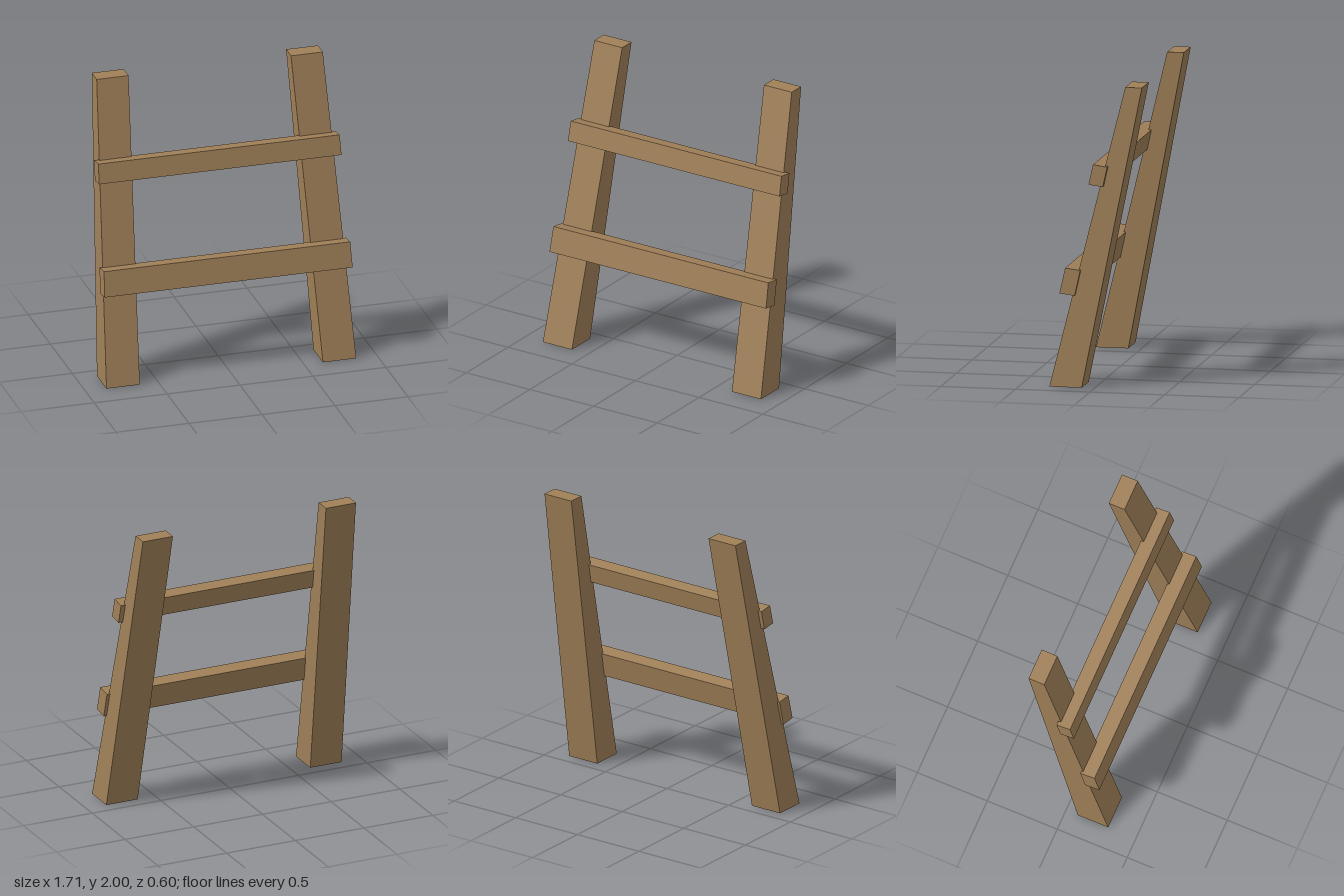
import * as THREE from 'three';

// Box whose eight corners are placed by a rule: (sx, sy, sz) signs -> [x, y, z]
function shapedBox(name, material, place) {
  const geometry = new THREE.BoxGeometry(2, 2, 2).toNonIndexed();
  const pos = geometry.attributes.position;
  for (let i = 0; i < pos.count; i++) {
    pos.setXYZ(i, ...place(pos.getX(i), pos.getY(i), pos.getZ(i)));
  }
  geometry.computeVertexNormals();
  const mesh = new THREE.Mesh(geometry, material);
  mesh.name = name;
  return mesh;
}

// Tapered rail leaning back and inward; side is +1 (left) or -1 (right)
function rail(name, material, side) {
  return shapedBox(name, material, (sx, sy, sz) => {
    const top = sy > 0;
    const [inner, outer] = top ? [0.557, 0.775] : [0.628, 0.856];
    const [back, front] = top ? [-0.302, -0.19] : [0.085, 0.302];
    const x = side * (sx * side > 0 ? outer : inner);
    return [x, top ? 2 : 0, sz > 0 ? front : back];
  });
}

// Tilted plank across the front of the rails
function rung(name, material, { y, z, height, depth, left, right, flare }) {
  const tilt = 0.215;
  const c = Math.cos(tilt), s = Math.sin(tilt);
  return shapedBox(name, material, (sx, sy, sz) => {
    const v = sy * height / 2, w = sz * depth / 2;
    const x = (sx > 0 ? left : -right) - sx * sy * flare;
    return [x, y + v * c + w * s * 0.6, z - v * s + w * c];
  });
}

export function createModel() {
  const wood = new THREE.MeshStandardMaterial({ color: 0xa08058 });
  wood.name = 'wood';
  const ladder = new THREE.Group();
  ladder.name = 'ladder';
  ladder.add(
    rail('leftRail', wood, 1),
    rail('rightRail', wood, -1),
    rung('upperRung', wood, { y: 1.413, z: -0.018, height: 0.136, depth: 0.098, left: 0.831, right: 0.827, flare: 0.002 }),
    rung('lowerRung', wood, { y: 0.702, z: 0.166, height: 0.173, depth: 0.104, left: 0.849, right: 0.845, flare: 0.003 }),
  );
  return ladder;
}
